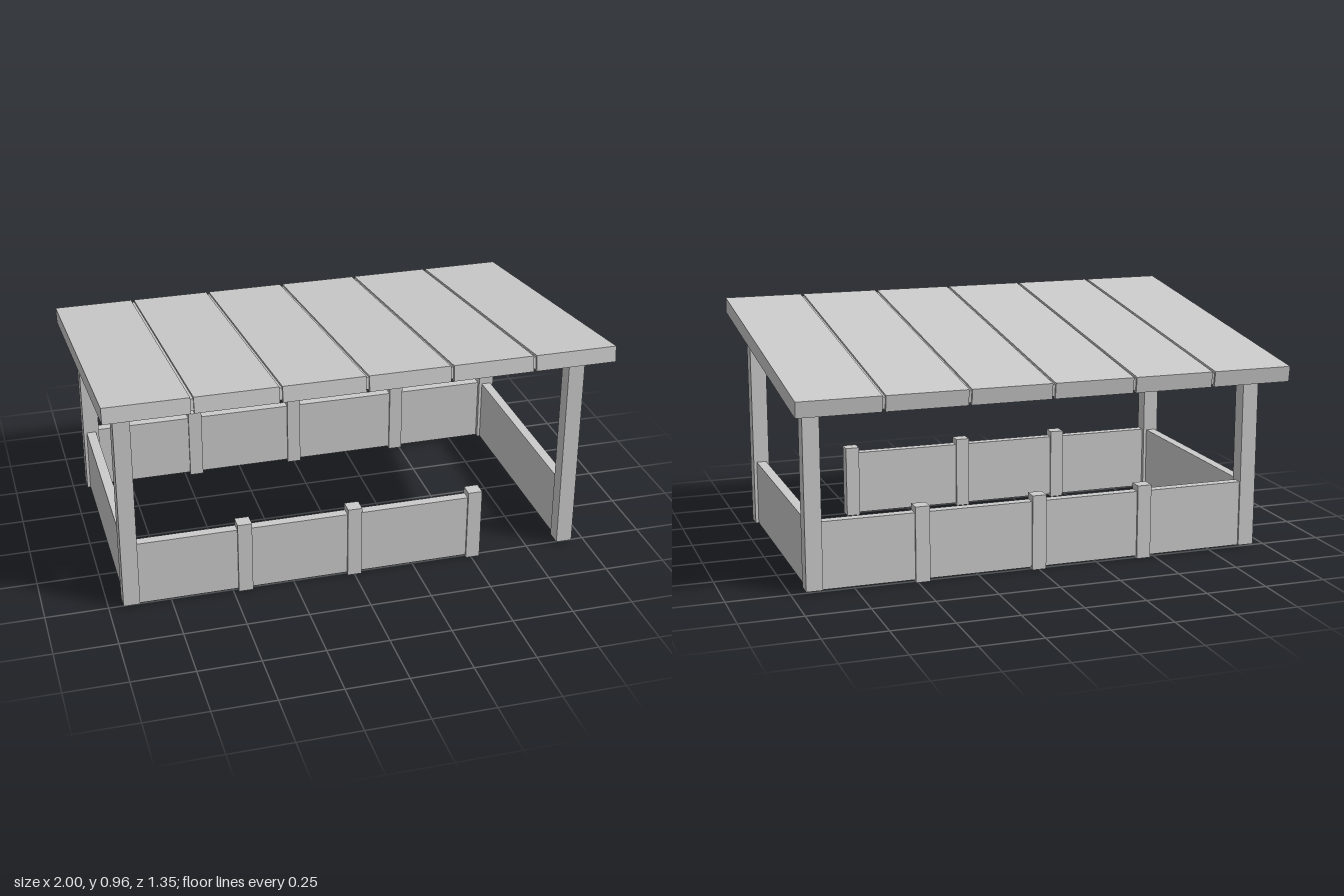
import * as THREE from 'three';

const material = new THREE.MeshStandardMaterial({ color: 0xcccccc, flatShading: true });

// Box given by its extents along each axis
function box(parent, name, [x0, x1], [y0, y1], [z0, z1]) {
  const mesh = new THREE.Mesh(new THREE.BoxGeometry(x1 - x0, y1 - y0, z1 - z0), material);
  mesh.name = name;
  mesh.position.set((x0 + x1) / 2, (y0 + y1) / 2, (z0 + z1) / 2);
  parent.add(mesh);
  return mesh;
}

const around = (c, size) => [c - size / 2, c + size / 2];

export function createModel() {
  const model = new THREE.Group();
  model.name = 'shelter';

  const postX = 0.91, postZ = 0.485, postSize = 0.066;
  const roofY = 0.8425, slope = 0.133, thickness = 0.0635, length = 1.349;
  const wallY = [0.01, 0.28];

  // Corner posts, their tops cut to the slope of the roof
  for (const sx of [-1, 1]) {
    for (const sz of [-1, 1]) {
      const post = box(model, sz > 0 ? 'frontPost' : 'backPost',
        around(sx * postX, postSize), [0.01, 0.8], around(sz * postZ, postSize));
      const p = post.geometry.attributes.position;
      for (let i = 0; i < p.count; i++) {
        if (p.getY(i) > 0) {
          const z = p.getZ(i) + post.position.z;
          p.setY(i, roofY - thickness / 2 + slope * z + 0.002 - post.position.y);
        }
      }
      post.geometry.computeVertexNormals();
    }
    // Low side walls
    box(model, 'sideWall', around(sx * postX, 0.04), wallY, [-0.46, 0.46]);
  }

  // Low back wall, and front wall with an entrance at one end
  box(model, 'backWall', [-0.885, 0.885], wallY, around(-0.49, 0.04));
  box(model, 'frontWall', [-0.885, 0.505], wallY, around(0.49, 0.04));

  // Short stakes that hold the walls
  for (const x of [-0.45, 0, 0.48]) {
    box(model, 'backStake', around(x, 0.058), [0, 0.305], around(-0.49, 0.058));
  }
  for (const x of [-0.45, 0, 0.506]) {
    box(model, 'frontStake', around(x, 0.058), [0, 0.305], around(0.49, 0.058));
  }

  // Sloping roof: six planks with narrow grooves between them
  const roof = new THREE.Group();
  roof.name = 'roof';
  roof.position.y = roofY;
  roof.rotation.x = -Math.atan(slope);
  const count = 6, width = 2 / count, gap = 0.012;
  for (let i = 0; i < count; i++) {
    const x0 = -1 + i * width + (i > 0 ? gap / 2 : 0);
    const x1 = -1 + (i + 1) * width - (i < count - 1 ? gap / 2 : 0);
    box(roof, 'roofPlank', [x0, x1], around(0, thickness), around(0, length));
    // Recessed joint between neighbouring planks
    if (i > 0) {
      box(roof, 'roofJoint', around(-1 + i * width, gap), around(0, thickness - 0.016), around(0, length - 0.016));
    }
  }
  model.add(roof);

  return model;
}
